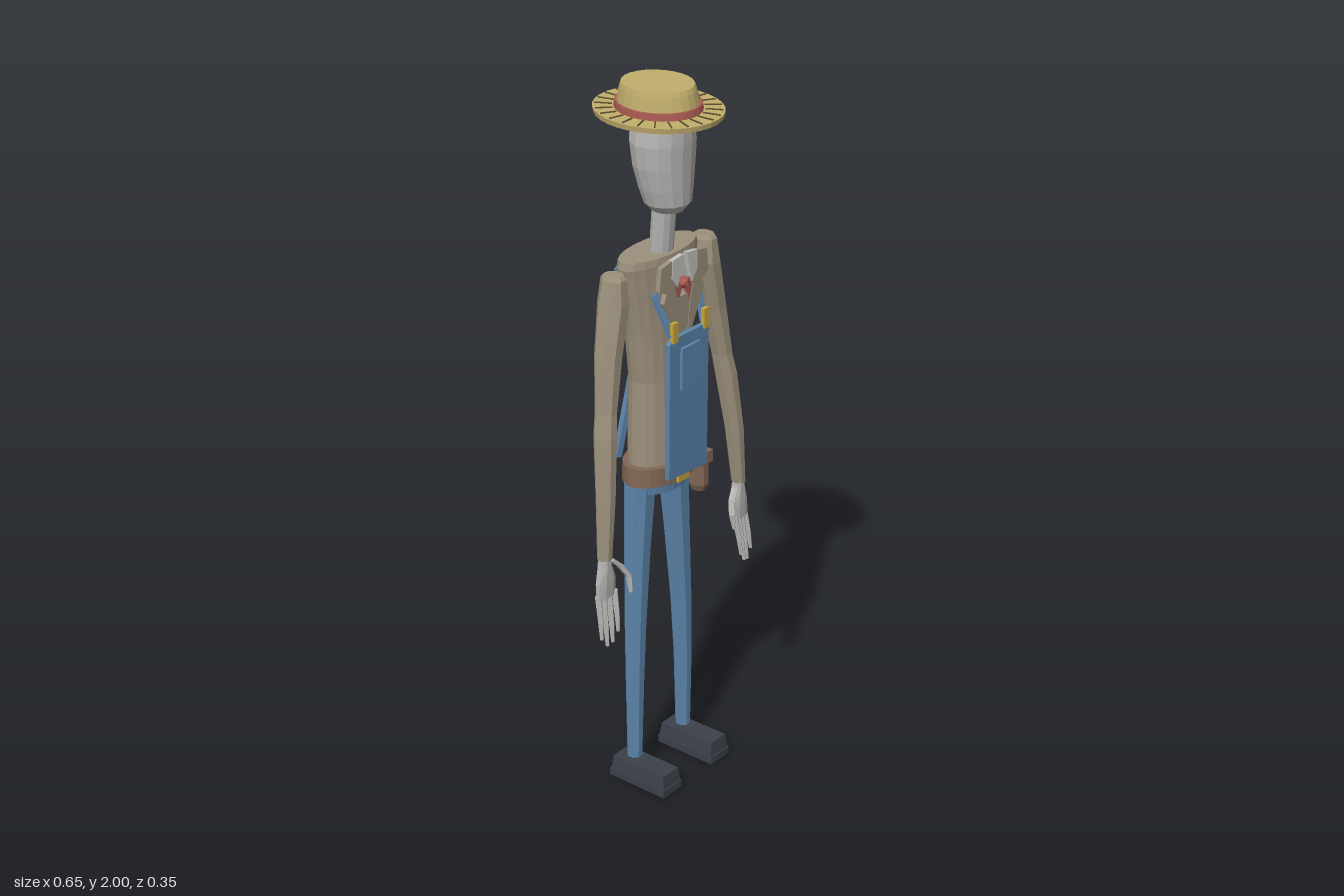
import * as THREE from 'three';

const mat = (name, color) => {
  const m = new THREE.MeshStandardMaterial({ color });
  m.name = name;
  return m;
};

export function createModel() {
  const straw = mat('straw', 0xc0ad6c), strawDark = mat('darkStraw', 0x5e5330), red = mat('red', 0xab5c52),
    skin = mat('paleGrey', 0xb5b3b1), cloth = mat('tanCloth', 0x9c907c), denim = mat('denim', 0x5c84aa),
    leather = mat('leather', 0x826655), shoeMat = mat('shoeBlack', 0x3c404a), white = mat('shirtWhite', 0xc4c3c0),
    gold = mat('brass', 0xc9a43c);

  const root = new THREE.Group();
  root.name = 'scarecrow';

  function add(name, geo, material, parent = root) {
    const g = geo.index ? geo.toNonIndexed() : geo;
    g.computeVertexNormals(); // faceted look
    const m = new THREE.Mesh(g, material);
    m.name = name;
    parent.add(m);
    return m;
  }

  // Capped skin over elliptical rings [x, y, z, rx, rz], listed bottom to top
  function loft(rings, n) {
    const pos = [], idx = [];
    for (const [x, y, z, rx, rz] of rings)
      for (let j = 0; j < n; j++) {
        const a = ((j + 0.5) / n) * Math.PI * 2;
        pos.push(x + rx * Math.cos(a), y, z + rz * Math.sin(a));
      }
    for (let i = 0; i < rings.length - 1; i++)
      for (let j = 0; j < n; j++) {
        const k = (j + 1) % n, a = i * n + j, b = i * n + k;
        idx.push(a, a + n, b, b, a + n, b + n);
      }
    const top = (rings.length - 1) * n;
    for (let j = 1; j < n - 1; j++) {
      idx.push(0, j, j + 1);
      idx.push(top, top + j + 1, top + j);
    }
    const g = new THREE.BufferGeometry();
    g.setAttribute('position', new THREE.Float32BufferAttribute(pos, 3));
    g.setIndex(idx);
    return g;
  }

  function box(name, size, at, material, parent) {
    const m = add(name, new THREE.BoxGeometry(...size), material, parent);
    m.position.set(...at);
    return m;
  }

  // Flat cut-out plate, outline points in x and y
  function plate(name, pts, z, depth, material) {
    const shape = new THREE.Shape(pts.map(p => new THREE.Vector2(...p)));
    const m = add(name, new THREE.ExtrudeGeometry(shape, { depth, bevelEnabled: false }), material);
    m.position.z = z;
    return m;
  }

  // Flat strap between two points
  function strap(name, from, to, w, t, material) {
    const a = new THREE.Vector3(...from), b = new THREE.Vector3(...to);
    const m = add(name, new THREE.BoxGeometry(w, a.distanceTo(b), t), material);
    m.position.copy(a).add(b).multiplyScalar(0.5);
    m.quaternion.setFromUnitVectors(new THREE.Vector3(0, 1, 0), b.sub(a).normalize());
    return m;
  }

  // Head and neck
  add('head', loft([
    [-0.006, 1.665, 0.022, 0.04, 0.042], [-0.006, 1.688, 0.022, 0.064, 0.06], [-0.007, 1.73, 0.017, 0.076, 0.067],
    [-0.008, 1.79, 0.011, 0.088, 0.075], [-0.008, 1.85, 0.008, 0.092, 0.081],
    [-0.008, 1.90, 0.008, 0.083, 0.08], [-0.008, 1.94, 0.008, 0.07, 0.07]], 16), skin);
  add('neck', loft([[-0.003, 1.53, -0.002, 0.034, 0.03], [-0.004, 1.68, 0.01, 0.034, 0.03]], 12), skin);

  // Boater hat, slightly tilted
  const hat = new THREE.Group();
  hat.name = 'hat';
  hat.position.set(-0.015, 1.925, 0);
  hat.rotation.z = 0.045;
  root.add(hat);
  add('hatBrim', loft([[0, -0.008, 0, 0.143, 0.175], [0, 0.006, 0, 0.145, 0.178]], 32), straw, hat);
  add('hatCrown', loft([[0, 0, 0, 0.096, 0.117], [0, 0.058, 0, 0.084, 0.104], [0, 0.071, 0, 0.08, 0.099]], 24), straw, hat);
  add('hatBand', loft([[0, 0.004, 0, 0.098, 0.121], [0, 0.024, 0, 0.096, 0.118]], 24), red, hat);
  for (let i = 0; i < 24; i++) {
    const a = (i / 24) * Math.PI * 2, c = Math.cos(a), s = Math.sin(a);
    const p = new THREE.Vector3(0.102 * c, 0, 0.124 * s), q = new THREE.Vector3(0.14 * c, 0, 0.172 * s);
    const rib = box('brimSeam', [p.distanceTo(q), 0.004, 0.003],
      [(p.x + q.x) / 2, 0.007, (p.z + q.z) / 2], strawDark, hat);
    rib.rotation.y = -Math.atan2(q.z - p.z, q.x - p.x);
  }

  // Torso, hips and belt
  add('torso', loft([
    [0, 0.92, -0.014, 0.102, 0.068], [0, 1.05, -0.016, 0.096, 0.066], [0, 1.2, -0.018, 0.09, 0.063],
    [0, 1.34, -0.018, 0.108, 0.065], [0, 1.46, -0.018, 0.132, 0.065], [0, 1.53, -0.016, 0.146, 0.061],
    [0, 1.55, -0.016, 0.142, 0.058]], 20), cloth);
  add('hips', loft([[0, 0.882, -0.014, 0.095, 0.066], [0, 0.93, -0.014, 0.105, 0.07]], 20), denim);
  add('belt', loft([[0, 0.912, -0.012, 0.12, 0.08], [0, 0.965, -0.012, 0.118, 0.079]], 24), leather);
  box('buckle', [0.045, 0.04, 0.008], [0, 0.932, 0.07], gold);

  // Belt pouch
  const pouch = new THREE.Group();
  pouch.name = 'pouch';
  pouch.position.set(0.117, 0.885, 0.03);
  root.add(pouch);
  add('pouchBody', loft([[0, -0.058, 0, 0.018, 0.022], [0, -0.04, 0, 0.025, 0.03], [0, 0.055, 0, 0.026, 0.03]], 8), leather, pouch);
  box('pouchFlap', [0.052, 0.035, 0.058], [0, 0.04, 0], leather, pouch);

  // Bib with pocket
  const bib = plate('bib', [[-0.08, 0.945], [0.08, 0.935], [0.078, 1.33], [0.07, 1.345], [-0.07, 1.345], [-0.082, 1.33]], 0.074, 0.014, denim);
  bib.rotation.x = 0.01;
  bib.position.z = 0.064;
  box('bibPocket', [0.074, 0.115, 0.008], [-0.003, 1.25, 0.094], denim);
  box('pocketHem', [0.074, 0.016, 0.012], [-0.003, 1.303, 0.094], denim);

  // Collar and scarf
  plate('shirtFront', [[0, 1.40], [0.045, 1.5], [0.042, 1.54], [-0.042, 1.54], [-0.045, 1.5]], 0.046, 0.008, white);
  plate('vestPoint', [[0, 1.31], [0.04, 1.38], [0.03, 1.44], [-0.03, 1.44], [-0.04, 1.38]], 0.05, 0.02, cloth);
  const knot = add('scarfKnot', new THREE.IcosahedronGeometry(0.018, 0), red);
  knot.position.set(0, 1.475, 0.068);

  for (const s of [-1, 1]) {
    const side = s > 0 ? 'left' : 'right';
    const flip = pts => pts.map(([x, y]) => [x * s, y]);
    plate(side + 'Collar', flip([[0.008, 1.555], [0.05, 1.55], [0.052, 1.5], [0.028, 1.47], [0.018, 1.51]]), 0.062, 0.012, white);
    plate(side + 'Scarf', flip([[0.004, 1.475], [0.042, 1.49], [0.036, 1.43], [0.022, 1.42]]), 0.062, 0.008, red);
    plate(side + 'Lapel', flip([[0.052, 1.548], [0.092, 1.54], [0.1, 1.48], [0.072, 1.465], [0.082, 1.44], [0.012, 1.30], [0.022, 1.40]]), 0.058, 0.014, cloth);

    // Overall straps: short in front, crossed behind
    strap(side + 'FrontStrap', [0.066 * s, 1.35, 0.084], [0.085 * s, 1.46, 0.042], 0.02, 0.01, denim);
    box(side + 'StrapClip', [0.02, 0.055, 0.012], [0.064 * s, 1.362, 0.09], gold);
    strap(side + 'BackStrap', [0.075 * s, 1.5, -0.084], [-0.07 * s, 0.955, -0.097], 0.018, 0.016, denim);

    // Arm
    add(side + 'Sleeve', loft([
      [0.286 * s, 0.785, 0.038, 0.019, 0.021], [0.272 * s, 0.95, 0.032, 0.027, 0.027],
      [0.252 * s, 1.12, 0.016, 0.031, 0.032], [0.241 * s, 1.18, 0.01, 0.029, 0.03],
      [0.216 * s, 1.32, -0.002, 0.038, 0.037], [0.186 * s, 1.46, -0.008, 0.042, 0.043],
      [0.184 * s, 1.525, -0.008, 0.03, 0.036], [0.184 * s, 1.535, -0.008, 0.024, 0.028]], 8), cloth);

    // Hand with four fingers and a thumb
    const hand = new THREE.Group();
    hand.name = side + 'Hand';
    root.add(hand);
    add('palm', loft([
      [0.287 * s, 0.675, 0.042, 0.034, 0.014], [0.285 * s, 0.72, 0.04, 0.035, 0.017],
      [0.286 * s, 0.765, 0.038, 0.022, 0.018], [0.286 * s, 0.79, 0.038, 0.017, 0.017]], 8), skin, hand);
    for (let k = 0; k < 4; k++) {
      const x = 0.259 + 0.0185 * k, tip = [0.57, 0.545, 0.54, 0.565][k], z = 0.048 - 0.003 * k;
      add('finger', loft([
        [(x + 0.008) * s, tip, z + 0.018, 0.005, 0.005], [(x + 0.005) * s, tip + 0.05, z + 0.012, 0.007, 0.008],
        [x * s, 0.685, z, 0.009, 0.009]], 6), skin, hand);
    }
    add('thumb', loft([
      [0.223 * s, 0.672, 0.074, 0.005, 0.006], [0.221 * s, 0.715, 0.066, 0.008, 0.009],
      [0.24 * s, 0.75, 0.052, 0.01, 0.01], [0.265 * s, 0.775, 0.042, 0.009, 0.01]], 6), skin, hand);

    // Leg
    add(side + 'Leg', loft([
      [0.107 * s, 0.07, -0.012, 0.021, 0.022], [0.105 * s, 0.3, -0.012, 0.027, 0.026],
      [0.099 * s, 0.48, -0.014, 0.032, 0.03], [0.084 * s, 0.72, -0.018, 0.041, 0.036],
      [0.069 * s, 0.915, -0.02, 0.05, 0.042]], 8), denim);

    // Shoe: sole and narrowing upper
    const shoe = new THREE.Group();
    shoe.name = side + 'Shoe';
    shoe.position.set(0.107 * s, 0, 0.027);
    root.add(shoe);
    box('sole', [0.08, 0.022, 0.192], [0, 0.011, 0], shoeMat, shoe);
    const upper = new THREE.BoxGeometry(0.075, 0.04, 0.186), p = upper.attributes.position;
    for (let i = 0; i < p.count; i++)
      if (p.getY(i) > 0) p.setXYZ(i, p.getX(i) * 0.87, p.getY(i), p.getZ(i) * 0.95);
    add('shoeUpper', upper, shoeMat, shoe).position.y = 0.042;
  }
  return root;
}
